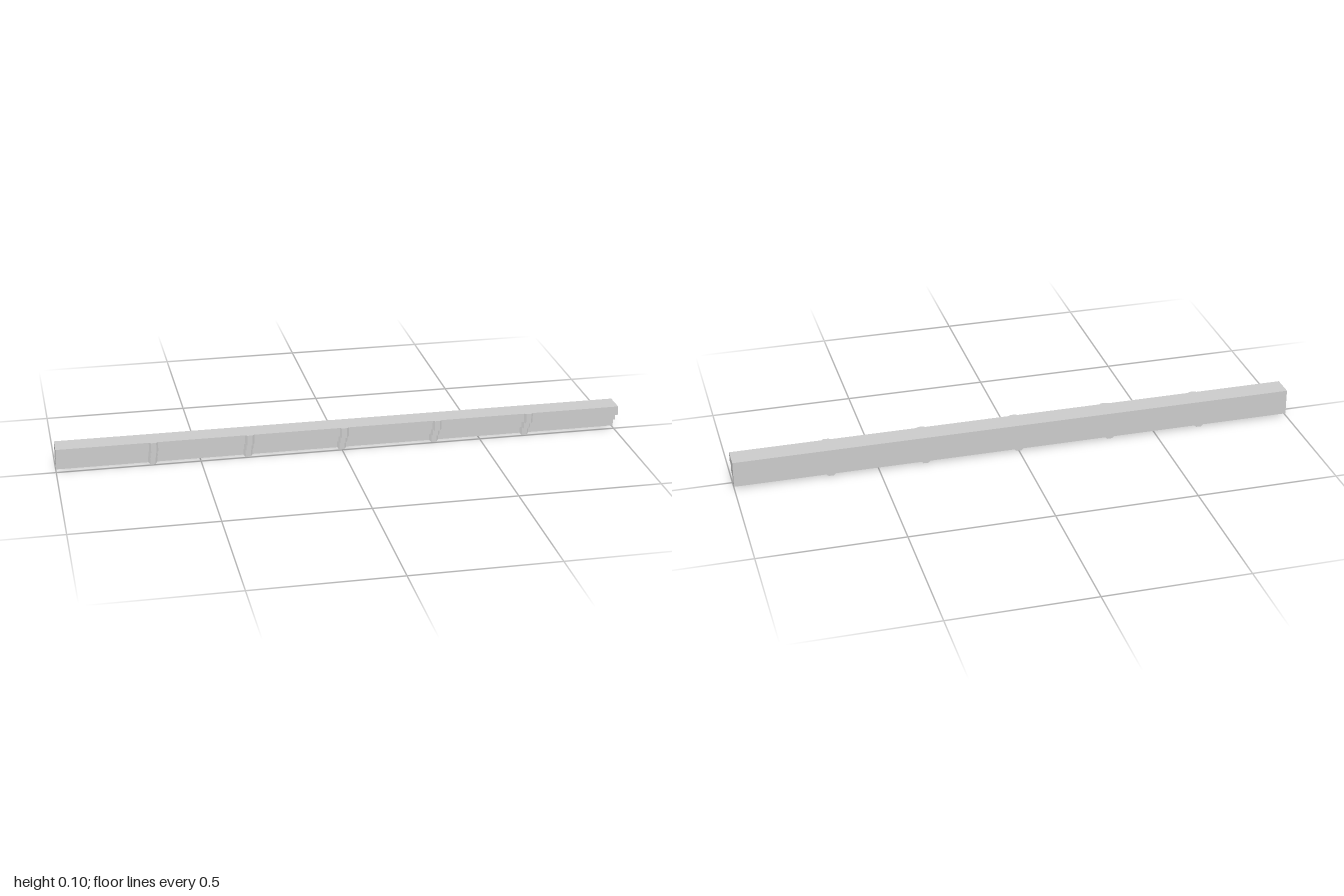
import * as THREE from 'three';

const TOP = 0.099, BACK = -0.042;
const RISE = 0.005, INSET = 0.006; // how far the ribs stand proud of the bar

// Stepped section as [z, y] corners, from the bottom back round to the top back
const ribSection = [
  [BACK, 0], [-0.005, 0], [-0.005, 0.033], [0.016, 0.033],
  [0.016, 0.062], [0.042, 0.062], [0.042, TOP], [BACK, TOP],
];

// Moves a rib surface point onto the bar surface; top and back stay flush
const sink = (z, y) => [
  z > BACK + 0.001 ? z - INSET : z,
  y < TOP - 0.001 ? y + RISE + (y < 0.001 ? 0.002 : 0) : y,
];

// Runs a section along x, centred on x = 0
function extrudeAlongX(section, length, steps = 1) {
  const shape = new THREE.Shape(section.map(([z, y]) => new THREE.Vector2(-z, y)));
  return new THREE.ExtrudeGeometry(shape, { depth: length, steps, bevelEnabled: false })
    .translate(0, 0, -length / 2)
    .rotateY(Math.PI / 2);
}

// Rib whose sides slope down to the bar surface
function ribGeometry(baseWidth, crestWidth) {
  const geo = extrudeAlongX(ribSection, baseWidth, 3);
  const p = geo.attributes.position;
  for (let i = 0; i < p.count; i++) {
    const x = p.getX(i);
    if (Math.abs(x) > baseWidth / 2 - 1e-4) {
      const [z, y] = sink(p.getZ(i), p.getY(i));
      p.setXYZ(i, x, y, z);
    } else {
      p.setX(i, Math.sign(x) * crestWidth / 2);
    }
  }
  geo.computeVertexNormals();
  return geo;
}

export function createModel() {
  const group = new THREE.Group();
  group.name = 'steppedCornice';
  const material = new THREE.MeshStandardMaterial({ color: 0xcccccc, flatShading: true });

  // Long stepped bar
  const barSection = ribSection.map(([z, y]) => sink(z, y));
  const bar = new THREE.Mesh(extrudeAlongX(barSection, 2), material);
  bar.name = 'steppedBar';
  group.add(bar);

  // Five evenly spaced ribs
  const ribGeo = ribGeometry(0.032, 0.018);
  for (let i = -2; i <= 2; i++) {
    const rib = new THREE.Mesh(ribGeo, material);
    rib.name = 'rib' + (i + 3);
    rib.position.x = i / 3;
    group.add(rib);
  }
  return group;
}
